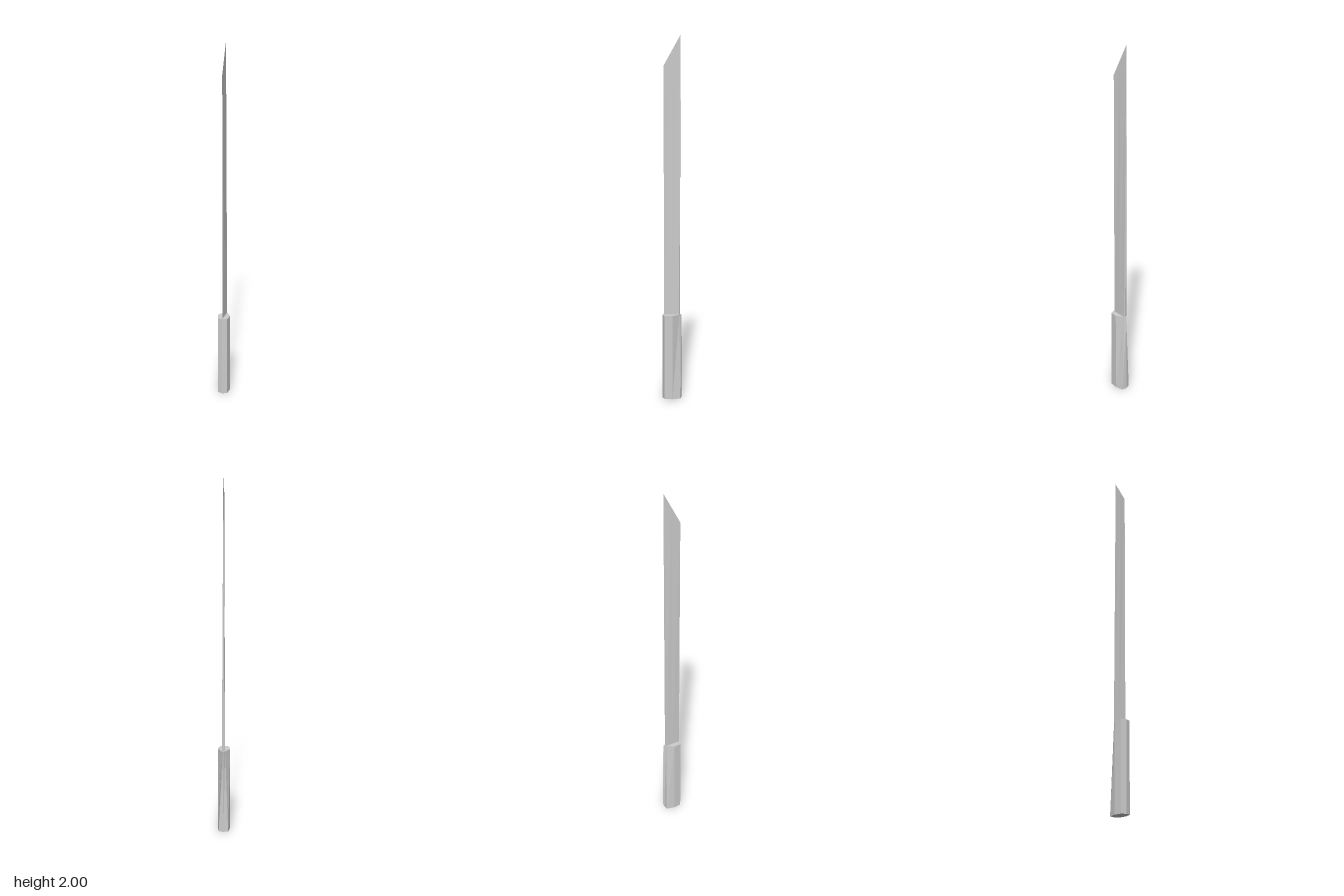
import * as THREE from 'three';

// Lofts between two matching rings of [x, y, z]; rings run front, left, back, right.
function loft(name, lower, upper) {
  const n = lower.length, pos = [];
  const tri = (a, b, c) => pos.push(...a, ...b, ...c);
  for (let i = 0; i < n; i++) {
    const j = (i + 1) % n;
    tri(lower[i], lower[j], upper[j]);
    tri(lower[i], upper[j], upper[i]);
  }
  for (let i = 1; i < n - 1; i++) {
    tri(upper[0], upper[i], upper[i + 1]);
    tri(lower[0], lower[i + 1], lower[i]);
  }
  const geo = new THREE.BufferGeometry();
  geo.setAttribute('position', new THREE.Float32BufferAttribute(pos, 3));
  geo.computeVertexNormals();
  const mesh = new THREE.Mesh(geo, new THREE.MeshStandardMaterial({ color: 0xcccccc, flatShading: true }));
  mesh.name = name;
  return mesh;
}

// Mirrors a half outline of [x, z] across x = 0; y may depend on z.
function ring(half, yAt) {
  const mirrored = half.slice(1, -1).reverse().map(([x, z]) => [-x, z]);
  return [...half, ...mirrored].map(([x, z]) => [x, yAt(z), z]);
}

export function createModel() {
  const group = new THREE.Group();
  group.name = 'blade with handle';

  // Eight-sided handle; its rear corners pinch in to the blade's spine at the top
  const front = [[0, 0.053], [0.027, 0.044], [0.035, 0]];
  const gripBottom = [...front, [0.027, -0.046], [0, -0.053]];
  const gripTop = [...front, [0.009, -0.04], [0, -0.053]];
  group.add(loft('handle', ring(gripBottom, () => 0), ring(gripTop, () => 0.48)));

  // Wedge blade: thick spine at the back, sharp front edge, thinning to a slanted tip
  const bladeBase = [[0, 0.045], [0.005, 0], [0.009, -0.041], [0, -0.045]];
  const bladeTip = [[0, 0.045], [0.0003, 0], [0.0003, -0.044], [0, -0.045]];
  const slant = (z) => 1.92 - z * (0.08 / 0.045);
  group.add(loft('blade', ring(bladeBase, () => 0.48), ring(bladeTip, slant)));

  return group;
}
